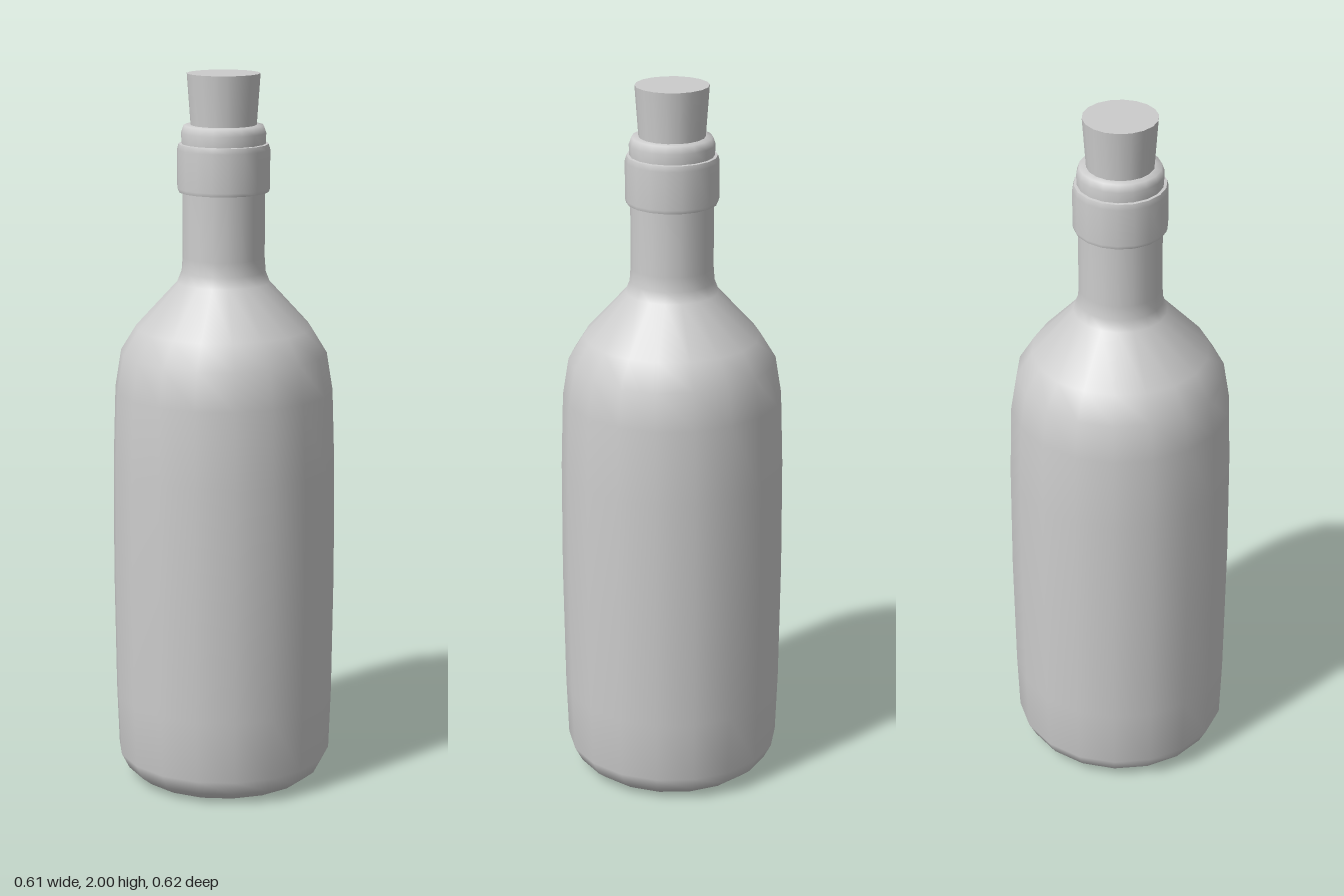
import * as THREE from 'three';

const SIDES = 18;

export function createModel() {
  const group = new THREE.Group();
  const grey = new THREE.MeshStandardMaterial({ color: 0xcccccc });
  grey.name = 'light grey';

  // Turned part from [radius, height] pairs, listed from the bottom up
  const turn = (name, profile) => {
    const points = profile.map(([r, y]) => new THREE.Vector2(r, y));
    const mesh = new THREE.Mesh(new THREE.LatheGeometry(points, SIDES), grey);
    mesh.name = name;
    group.add(mesh);
  };

  // Base, body, shoulder and neck, smooth throughout
  turn('bottleBody', [
    [0, 0.005], [0.21, 0], [0.25, 0.008], [0.28, 0.032], [0.302, 0.075],
    [0.308, 0.25], [0.312, 0.6], [0.31, 0.92], [0.303, 1.13],
    [0.286, 1.235], [0.243, 1.305], [0.128, 1.43], [0.116, 1.46],
    [0.113, 1.5], [0.113, 1.7],
  ]);

  // Raised collar round the neck
  turn('collarUnderside', [[0.105, 1.68], [0.124, 1.68]]);
  turn('collar', [[0.124, 1.68], [0.127, 1.69], [0.127, 1.795], [0.123, 1.81]]);
  turn('collarTop', [[0.123, 1.81], [0.105, 1.812]]);

  // Lip of the mouth
  turn('lip', [[0.115, 1.81], [0.116, 1.84], [0.109, 1.86], [0.085, 1.862]]);

  // Tapered stopper with a flat top
  turn('stopperSide', [[0.088, 1.82], [0.09, 1.86], [0.1, 2]]);
  turn('stopperTop', [[0.1, 2], [0, 2]]);

  return group;
}
